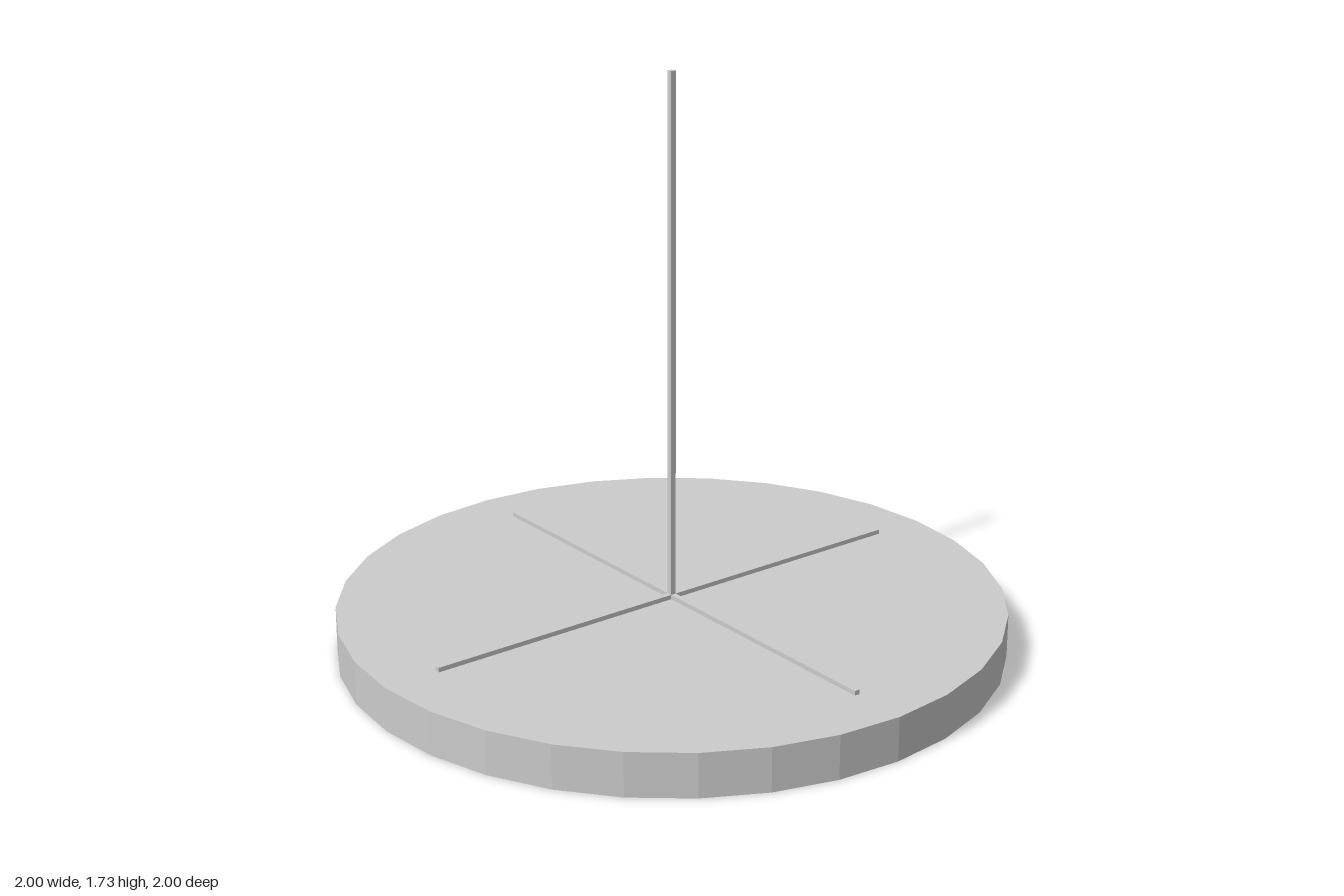
import * as THREE from 'three';

export function createModel() {
  const model = new THREE.Group();
  const material = new THREE.MeshStandardMaterial({ color: 0xcccccc, flatShading: true });

  const add = (name, geometry, y) => {
    const mesh = new THREE.Mesh(geometry, material);
    mesh.name = name;
    mesh.position.y = y;
    model.add(mesh);
    return mesh;
  };

  // Faceted round base
  const baseHeight = 0.133;
  add('base', new THREE.CylinderGeometry(1, 1, baseHeight, 32), baseHeight / 2);

  // Thin crossed bars lying on the base
  const thickness = 0.017;
  for (let i = 0; i < 2; i++) {
    const bar = add('crossBar', new THREE.BoxGeometry(1.66, thickness, thickness), 0.147 - thickness / 2);
    bar.rotation.y = i * Math.PI / 2;
  }

  // Upright pole rising from the centre
  const top = 1.733, bottom = baseHeight / 2;
  add('pole', new THREE.BoxGeometry(thickness, top - bottom, thickness), (top + bottom) / 2);

  return model;
}
